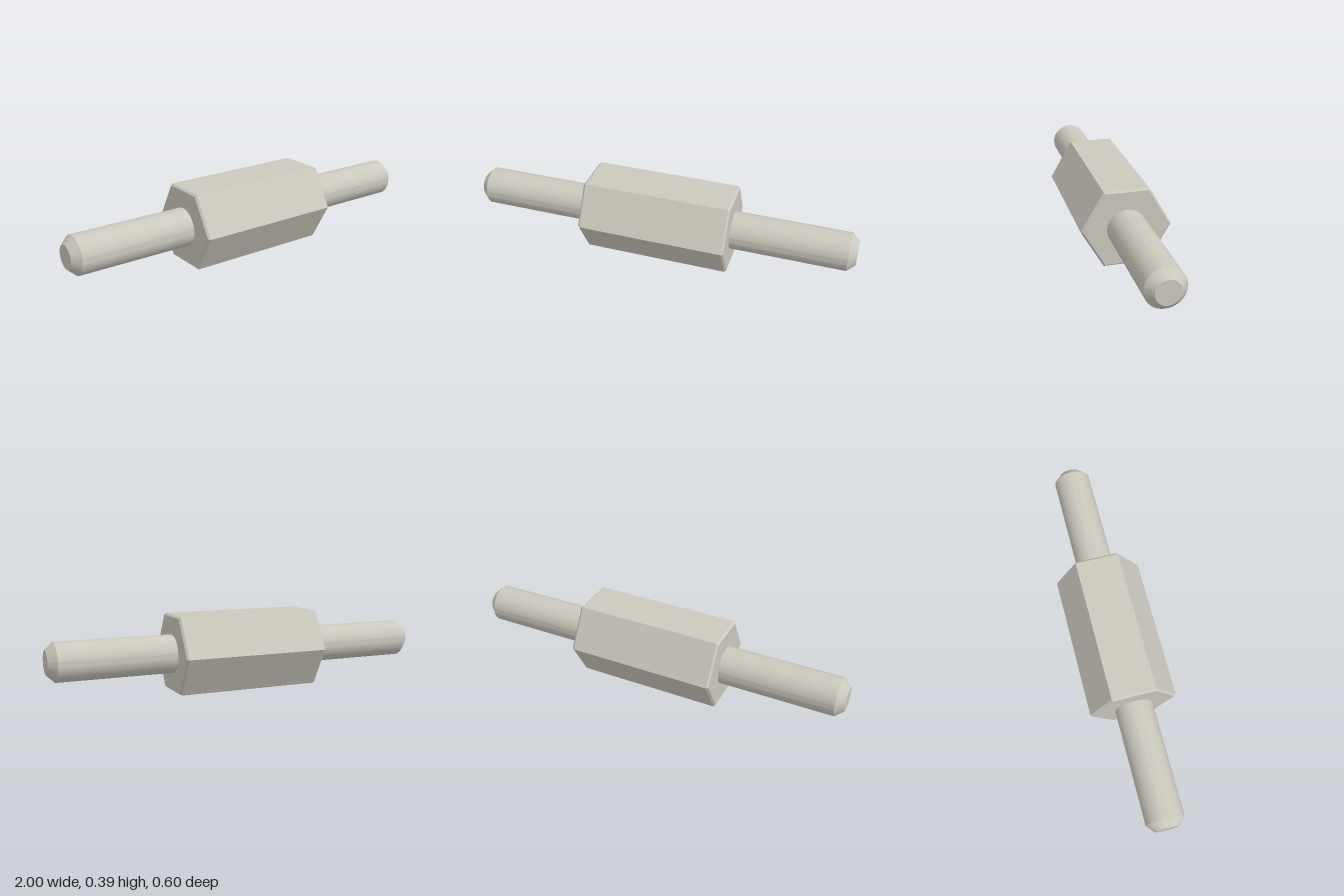
import * as THREE from 'three';
import { toCreasedNormals } from 'three/addons/utils/BufferGeometryUtils.js';

// Solid of revolution along x from [position, radius] pairs
function turned(profile, segments) {
  const points = profile.map(([x, r]) => new THREE.Vector2(r, x));
  const geometry = new THREE.LatheGeometry(points, segments);
  geometry.rotateZ(-Math.PI / 2);
  return toCreasedNormals(geometry, 0.4);
}

export function createModel() {
  const steel = new THREE.MeshStandardMaterial({ color: 0xcbc8bd });
  steel.name = 'pale steel';

  const model = new THREE.Group();
  model.name = 'hexSpacer';

  // Hexagonal body with narrow chamfers, corners to front and back
  const body = new THREE.Mesh(
    turned([[-0.383, 0], [-0.383, 0.214], [-0.373, 0.224], [0.373, 0.224], [0.383, 0.214], [0.383, 0]], 6),
    steel
  );
  body.name = 'hexBody';
  model.add(body);

  // Round studs with chamfered tips, one on each end
  const studGeometry = turned([[0.37, 0], [0.37, 0.097], [0.969, 0.097], [1.009, 0.06], [1.009, 0]], 64);
  for (const [name, turn] of [['leftStud', 0], ['rightStud', Math.PI]]) {
    const stud = new THREE.Mesh(studGeometry, steel);
    stud.name = name;
    stud.rotation.y = turn;
    model.add(stud);
  }

  // The whole part lies slightly askew
  model.rotation.y = -0.2107;
  model.position.y = 0.194;
  return model;
}
